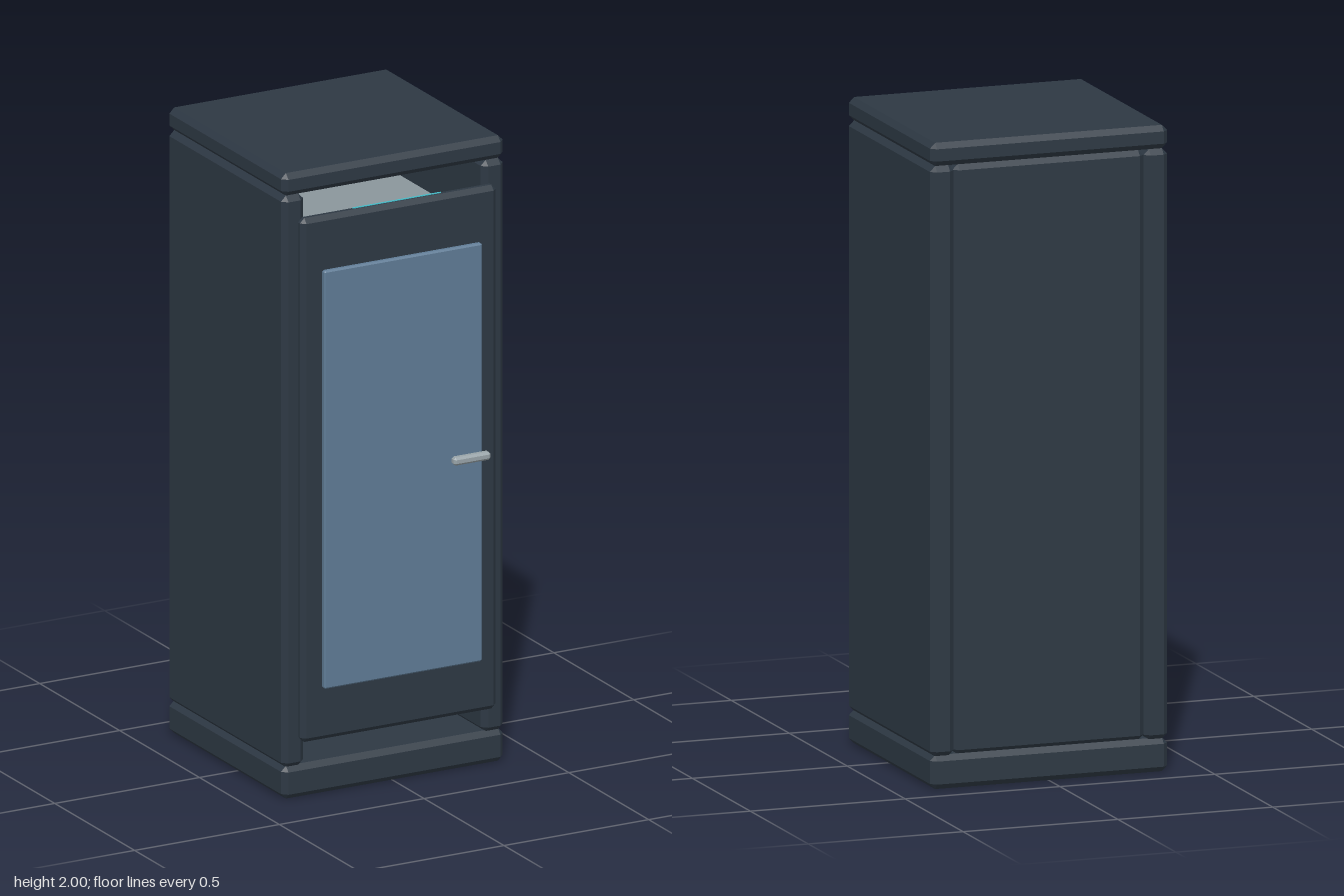
import * as THREE from 'three';
import { ConvexGeometry } from 'three/addons/geometries/ConvexGeometry.js';

const paint = (color) => new THREE.MeshStandardMaterial({ color });
const darkMetal = paint(0x2d3843);
const glass = paint(0x5f7b95);
const steel = paint(0x98a3a8);
const shelfGrey = paint(0x8a959b);
const teal = paint(0x3fb8c4);

// Box with all edges chamfered by c, given as min/max ranges on each axis
function chamferBox(name, [x0, x1], [y0, y1], [z0, z1], c, material) {
  const w = (x1 - x0) / 2, h = (y1 - y0) / 2, d = (z1 - z0) / 2;
  const points = [];
  for (const sx of [-1, 1]) for (const sy of [-1, 1]) for (const sz of [-1, 1]) {
    points.push(
      new THREE.Vector3(sx * w, sy * (h - c), sz * (d - c)),
      new THREE.Vector3(sx * (w - c), sy * h, sz * (d - c)),
      new THREE.Vector3(sx * (w - c), sy * (h - c), sz * d)
    );
  }
  const mesh = new THREE.Mesh(new ConvexGeometry(points), material);
  mesh.name = name;
  mesh.position.set((x0 + x1) / 2, (y0 + y1) / 2, (z0 + z1) / 2);
  return mesh;
}

export function createModel() {
  const model = new THREE.Group();
  model.name = 'cabinet';

  // Carcass: base, lid, side walls and back
  const carcass = new THREE.Group();
  carcass.name = 'carcass';
  const depth = [-0.418, 0.315];
  carcass.add(
    chamferBox('base', [-0.383, 0.383], [0, 0.105], depth, 0.017, darkMetal),
    chamferBox('lid', [-0.383, 0.383], [1.928, 2], depth, 0.017, darkMetal),
    chamferBox('rightWall', [-0.383, -0.307], [0.1, 1.928], depth, 0.017, darkMetal),
    chamferBox('leftWall', [0.307, 0.383], [0.1, 1.928], depth, 0.017, darkMetal),
    chamferBox('backPanel', [-0.308, 0.308], [0.1, 1.928], [-0.412, -0.352], 0.017, darkMetal)
  );
  model.add(carcass);

  // Inner shelves
  const shelves = new THREE.Group();
  shelves.name = 'shelves';
  const count = 5;
  for (let i = 0; i < count; i++) {
    const top = 0.19 + (1.76 - 0.19) * i / (count - 1);
    shelves.add(chamferBox('shelf', [-0.27, 0.27], [top - 0.022, top], [-0.33, 0.27], 0.005, shelfGrey));
  }
  model.add(shelves);

  // Door with window, handle and light strip
  const door = new THREE.Group();
  door.name = 'door';
  door.add(
    chamferBox('doorPanel', [-0.338, 0.338], [0.185, 1.86], [0.308, 0.35], 0.015, darkMetal),
    chamferBox('window', [-0.273, 0.273], [0.355, 1.692], [0.352, 0.372], 0.005, glass),
    chamferBox('handle', [0.152, 0.279], [1.011, 1.037], [0.39, 0.417], 0.007, steel),
    chamferBox('lightStrip', [-0.153, 0.153], [1.84, 1.863], [0.325, 0.33], 0.001, teal)
  );
  model.add(door);

  return model;
}
